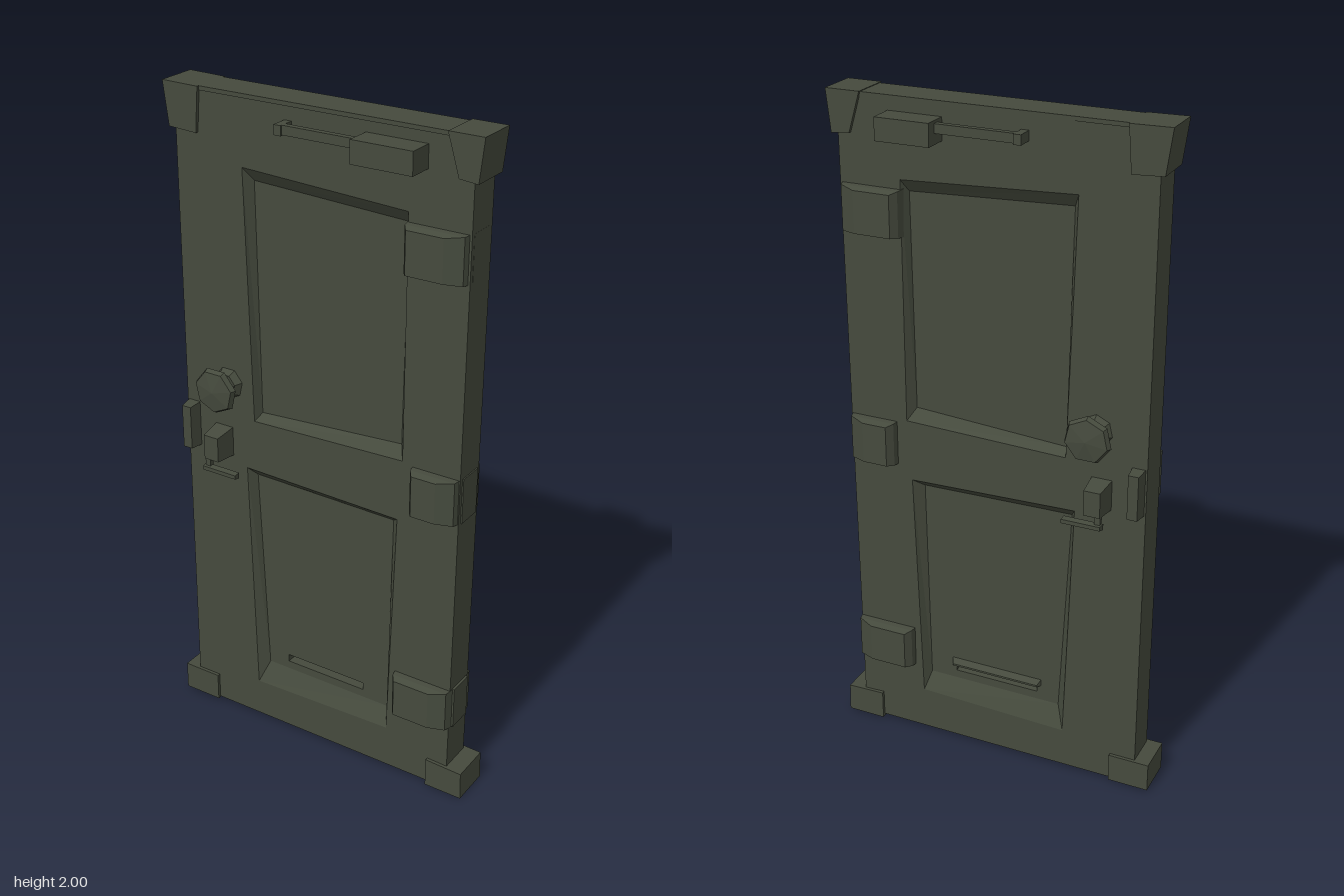
import * as THREE from 'three';

const paint = new THREE.MeshStandardMaterial({ color: 0x454a3d });
paint.name = 'dark olive paint';
const FRONT = 0.048, BACK = -0.056;          // slab faces
const PANEL_FRONT = 0.02, PANEL_BACK = -0.028; // recessed panel faces

// Corner lists run counter-clockwise as seen from the front.
const rect = (x0, y0, x1, y1) => [[x0, y0], [x1, y0], [x1, y1], [x0, y1]];
const shapeOf = (pts) => new THREE.Shape(pts.map(([x, y]) => new THREE.Vector2(x, y)));

export function createModel() {
  const door = new THREE.Group();
  door.name = 'door';

  const add = (name, geometry, parent = door) => {
    const g = geometry.index ? geometry.toNonIndexed() : geometry;
    g.computeVertexNormals();
    const mesh = new THREE.Mesh(g, paint);
    mesh.name = name;
    parent.add(mesh);
    return mesh;
  };

  const fromQuads = (quads) => {
    const pos = [];
    for (const [a, b, c, d] of quads) pos.push(...a, ...b, ...c, ...a, ...c, ...d);
    const g = new THREE.BufferGeometry();
    g.setAttribute('position', new THREE.Float32BufferAttribute(pos, 3));
    return g;
  };

  // Solid between two four-sided outlines at two depths
  const block = (name, qa, za, qb, zb) => {
    if (za > zb) [qa, za, qb, zb] = [qb, zb, qa, za];
    const lo = qa.map((p) => [...p, za]);
    const hi = qb.map((p) => [...p, zb]);
    const quads = [hi, [...lo].reverse()];
    for (let i = 0; i < 4; i++) {
      const j = (i + 1) % 4;
      quads.push([lo[i], lo[j], hi[j], hi[i]]);
    }
    return add(name, fromQuads(quads));
  };

  const slab = (pts, holes, z0, z1) => {
    const s = shapeOf(pts);
    for (const h of holes) s.holes.push(shapeOf(h));
    return new THREE.ExtrudeGeometry(s, { depth: z1 - z0, bevelEnabled: false }).translate(0, 0, z0);
  };

  // Sloping moulding from the frame opening down to the panel
  const moulding = (name, outer, zo, inner, zi) => {
    const quads = [];
    for (let i = 0; i < 4; i++) {
      const j = (i + 1) % 4;
      const q = [[...outer[i], zo], [...outer[j], zo], [...inner[j], zi], [...inner[i], zi]];
      quads.push(zo > zi ? q : q.reverse());
    }
    add(name, fromQuads(quads));
  };

  // Frame with two slightly crooked openings
  const upperOuter = [[-0.22, 1.045], [0.275, 1.06], [0.275, 1.772], [-0.242, 1.797]];
  const upperInner = [[-0.21, 1.065], [0.255, 1.095], [0.262, 1.735], [-0.222, 1.757]];
  const lowerOuter = [[-0.226, 0.13], [0.24, 0.143], [0.262, 0.872], [-0.25, 0.885]];
  const lowerInner = [[-0.2, 0.2], [0.225, 0.2], [0.235, 0.848], [-0.232, 0.856]];
  const outline = [[-0.46, 0.008], [0.45, 0.008], [0.46, 1.99], [-0.46, 1.99]];
  add('frame', slab(outline, [upperOuter, lowerOuter], BACK, FRONT));

  // Recessed panels; the lower one has a letter slot right through it
  const slot = rect(-0.13, 0.226, 0.14, 0.25);
  add('upperPanel', slab(upperInner, [], PANEL_BACK, PANEL_FRONT));
  add('lowerPanel', slab(lowerInner, [slot], PANEL_BACK, PANEL_FRONT));
  for (const [label, outer, inner] of [['upper', upperOuter, upperInner], ['lower', lowerOuter, lowerInner]]) {
    moulding(label + 'MouldingFront', outer, FRONT, inner, PANEL_FRONT);
    moulding(label + 'MouldingBack', outer, BACK, inner, PANEL_BACK);
  }

  // Corner caps
  const cap = (name, q) => block(name, q, -0.066, q, 0.058);
  cap('topRightCap', [[-0.475, 1.875], [-0.385, 1.87], [-0.375, 1.998], [-0.492, 2]]);
  cap('topLeftCap', [[0.42, 1.885], [0.475, 1.88], [0.488, 2], [0.385, 2]]);
  cap('bottomRightCap', rect(-0.506, 0.005, -0.382, 0.094));
  cap('bottomLeftCap', [[0.385, 0], [0.505, 0], [0.503, 0.088], [0.385, 0.092]]);
  add('topRail', new THREE.BoxGeometry(0.78, 0.012, 0.11).translate(0.01, 1.992, -0.004));

  // Hinges on both faces
  const hinges = [['upperHinge', 0.27, 1.61, 1.745], ['middleHinge', 0.305, 0.915, 1.052], ['lowerHinge', 0.265, 0.23, 0.362]];
  for (const [name, x, y0, y1] of hinges) {
    for (const side of [1, -1]) {
      const zFace = side > 0 ? FRONT : BACK;
      const base = rect(x, y0, 0.454, y1);
      const mid = rect(x + 0.005, y0 + 0.002, 0.448, y1 - 0.002);
      const top = rect(x + 0.02, y0 + 0.005, 0.4, y1 - 0.008);
      block(name, base, zFace - side * 0.01, mid, zFace + side * 0.018);
      block(name + 'Face', mid, zFace + side * 0.018, top, zFace + side * 0.039);
    }
    add(name + 'Pin', new THREE.BoxGeometry(0.02, y1 - y0, 0.08).translate(0.449, (y0 + y1) / 2, -0.004));
  }

  // Faceted knobs, waisted behind the grip
  const knobProfile = [[0.05, 0], [0.036, 0.022], [0.04, 0.04], [0.07, 0.062], [0.063, 0.077], [0, 0.086]]
    .map(([r, h]) => new THREE.Vector2(r, h));
  for (const side of [1, -1]) {
    const knob = add(side > 0 ? 'frontKnob' : 'backKnob', new THREE.LatheGeometry(knobProfile, 7));
    knob.rotation.x = side * Math.PI / 2;
    knob.position.set(-0.308, 1.145, (side > 0 ? FRONT : BACK) - side * 0.002);
  }

  for (const side of [1, -1]) {
    const face = side > 0 ? FRONT : BACK;
    const z = (d) => face + side * d;

    // Lock body with a small bolt handle below it
    block('lock', rect(-0.36, 0.912, -0.298, 1.005), z(-0.01), rect(-0.352, 0.918, -0.303, 0.994), z(0.07));
    block('lockLever', rect(-0.358, 0.878, -0.24, 0.896), z(0.055), rect(-0.355, 0.882, -0.24, 0.894), z(0.075));
    block('lockLeverStem', rect(-0.352, 0.88, -0.335, 0.93), z(0.052), rect(-0.352, 0.88, -0.335, 0.93), z(0.066));

    // Strike plate near the opening edge
    block('strikePlate', rect(-0.456, 0.915, -0.415, 1.057), z(-0.01), rect(-0.45, 0.918, -0.42, 1.052), z(0.042));

    // Door closer: body, arm and end bracket
    const end = side > 0 ? 0.328 : 0.306;
    const body = rect(0.146, 1.892, end, 1.956);
    block('closerBody', body, z(-0.005), body, z(0.076));
    const arm = rect(-0.102, 1.922, 0.16, 1.948);
    block('closerArm', arm, z(0.026), arm, z(0.044));
    const bracket = rect(-0.102, 1.92, -0.08, 1.948);
    block('closerBracket', bracket, z(-0.005), bracket, z(0.05));
  }

  // Hood over the letter slot on the back
  block('slotHood', rect(-0.145, 0.25, 0.155, 0.275), PANEL_BACK + 0.004, rect(-0.135, 0.25, 0.145, 0.256), PANEL_BACK - 0.014);

  return door;
}
